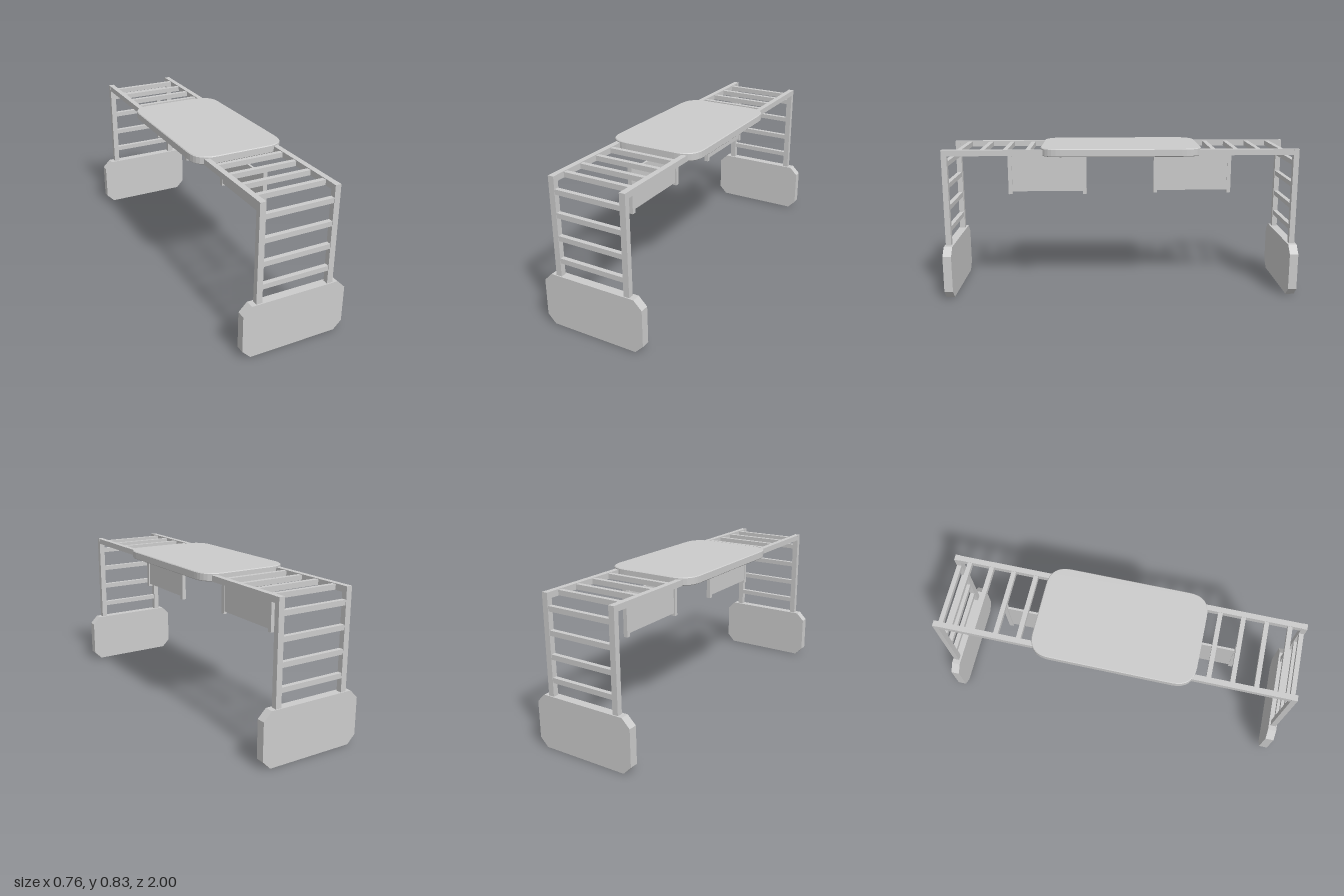
import * as THREE from 'three';

const mat = new THREE.MeshStandardMaterial({ color: 0xcccccc, flatShading: true });

function add(parent, name, geo, x = 0, y = 0, z = 0) {
  const m = new THREE.Mesh(geo, mat);
  m.name = name;
  m.position.set(x, y, z);
  parent.add(m);
  return m;
}
const box = (w, h, d) => new THREE.BoxGeometry(w, h, d);

// rectangle with rounded corners, or chamfered ones when round is false
function plateShape(hw, hh, r, round) {
  const s = new THREE.Shape();
  const corners = [[1, -1], [1, 1], [-1, 1], [-1, -1]];
  corners.forEach(([sx, sy], i) => {
    const alongX = i % 2 === 0;
    const a = [sx * (hw - (alongX ? r : 0)), sy * (hh - (alongX ? 0 : r))];
    const b = [sx * (hw - (alongX ? 0 : r)), sy * (hh - (alongX ? r : 0))];
    if (i === 0) s.moveTo(...a); else s.lineTo(...a);
    if (round) s.quadraticCurveTo(sx * hw, sy * hh, ...b);
    else s.lineTo(...b);
  });
  s.closePath();
  return s;
}

// one end: ladder leg, overhead rails and rungs, foot board, hanging panel
function buildEnd(name) {
  const end = new THREE.Group();
  end.name = name;
  const zLeg = 0.956;

  // foot board with cut corners
  const foot = new THREE.ExtrudeGeometry(plateShape(0.288, 0.145, 0.045, false), { depth: 0.047, bevelEnabled: false });
  foot.translate(0, 0, -0.0235);
  add(end, 'footBoard', foot, 0, 0.145, 0.954);

  for (const s of [-1, 1]) {
    add(end, 'leg', box(0.032, 0.54, 0.03), s * 0.2, 0.55, zLeg);
    add(end, 'topRail', box(0.03, 0.032, 0.53), s * 0.2, 0.804, 0.69);
  }
  for (let i = 0; i < 4; i++) {
    add(end, 'ladderRung', box(0.37, 0.027, 0.025), 0, 0.376 + i * 0.122, zLeg);
    add(end, 'overheadRung', box(0.37, 0.027, 0.025), 0, 0.803, 0.508 + i * 0.1245);
  }

  // hanging panel between two posts
  add(end, 'hangingPanel', box(0.012, 0.215, 0.42), 0.01, 0.662, 0.415);
  for (const z of [0.204, 0.629]) add(end, 'panelPost', box(0.023, 0.25, 0.022), 0.012, 0.664, z);
  return end;
}

export function createModel() {
  const model = new THREE.Group();
  model.name = 'climbingFrame';

  // whole frame stands slightly turned
  const frame = new THREE.Group();
  frame.name = 'frame';
  frame.rotation.y = 0.0945;
  model.add(frame);

  // rounded deck with a fine edge bevel
  const deck = new THREE.ExtrudeGeometry(plateShape(0.256, 0.436, 0.11, true), {
    depth: 0.035, bevelThickness: 0.004, bevelSize: 0.004, bevelSegments: 1, curveSegments: 8,
  });
  deck.rotateX(-Math.PI / 2);
  add(frame, 'deck', deck, 0, 0.791, 0);

  // the two ends are the same, turned half a circle
  const back = buildEnd('backEnd');
  back.rotation.y = Math.PI;
  frame.add(buildEnd('frontEnd'), back);
  return model;
}
